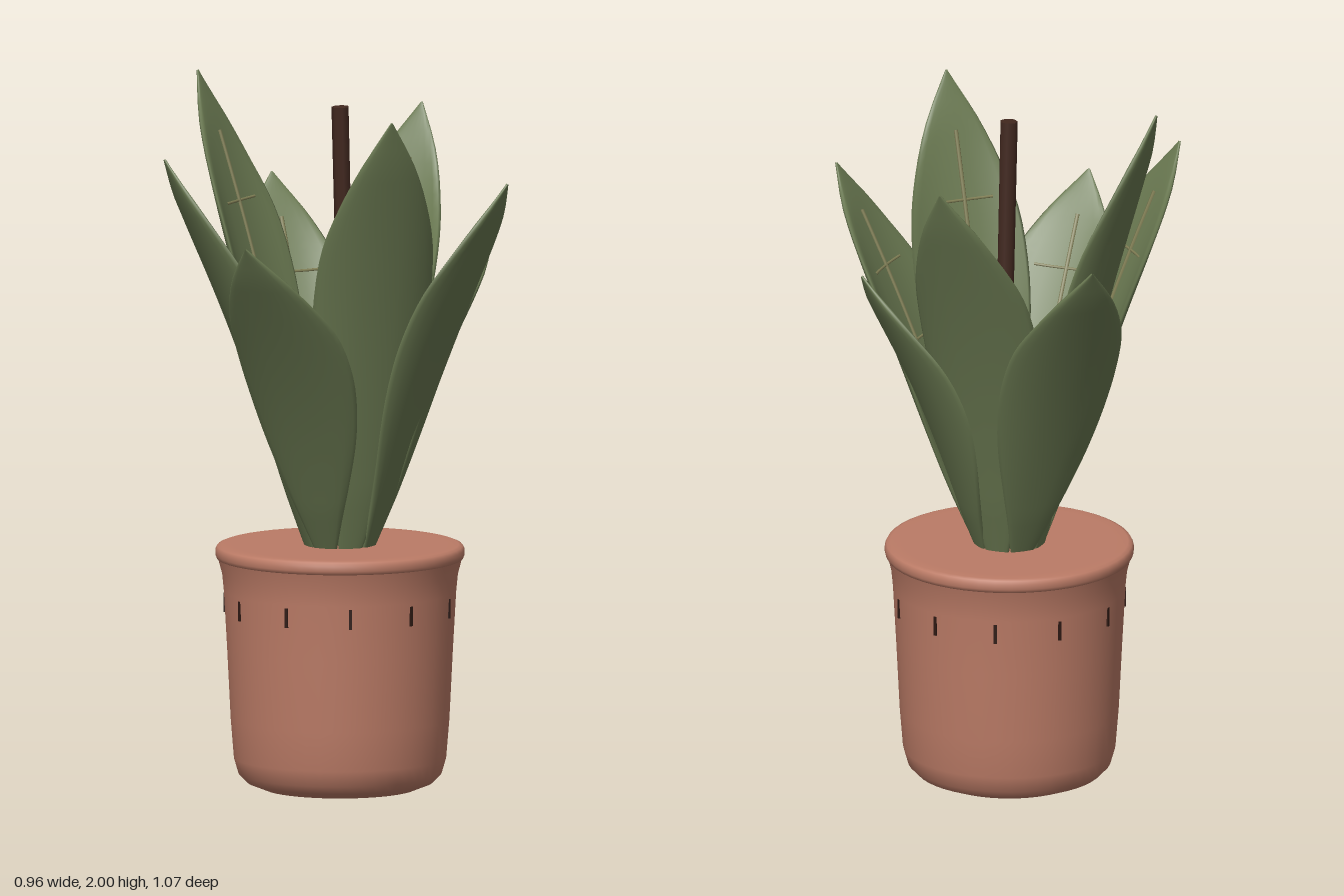
import * as THREE from 'three';

const CX = 0.035, CZ = 0.055, TOP = 0.69;

export function createModel() {
  const mat = (name, color) => {
    const m = new THREE.MeshStandardMaterial({ color });
    m.name = name;
    return m;
  };
  const clay = mat('terracotta', 0xbb7b66);
  const green = mat('leafGreen', 0x6b7a52);
  const olive = mat('veinOlive', 0x828056);
  const brown = mat('stakeBrown', 0x42281f);
  const dark = mat('slotDark', 0x2e1a14);

  const root = new THREE.Group();
  root.name = 'pottedPlant';
  const add = (parent, geo, material, name) => {
    const m = new THREE.Mesh(geo, material);
    m.name = name;
    parent.add(m);
    return m;
  };
  const lathe = pts => new THREE.LatheGeometry(pts.map(p => new THREE.Vector2(...p)), 48);

  // Pot: rounded body, then a rolled rim that runs into the closed top
  const pot = new THREE.Group();
  pot.name = 'pot';
  pot.position.set(CX, 0, CZ);
  root.add(pot);
  add(pot, lathe([[0, 0], [0.215, 0.003], [0.262, 0.022], [0.284, 0.045], [0.297, 0.09],
    [0.306, 0.2], [0.316, 0.4], [0.325, 0.56], [0.33, 0.61], [0.342, 0.655]]), clay, 'potBody');
  add(pot, lathe([[0.336, 0.65], [0.344, 0.652], [0.348, 0.662], [0.348, 0.676], [0.343, 0.686],
    [0.332, TOP], [0.3, TOP], [0, TOP]]), clay, 'potRimAndTop');

  // Small upright slots around the pot
  for (let i = 0; i < 11; i++) {
    const a = THREE.MathUtils.degToRad(-6.4) + i / 11 * Math.PI * 2;
    const slot = add(pot, new THREE.BoxGeometry(0.009, 0.055, 0.008), dark, 'potSlot');
    slot.position.set(Math.sin(a) * 0.322, 0.523, Math.cos(a) * 0.322);
    slot.rotation.y = a;
  }

  // Leaning stake
  const low = new THREE.Vector3(0.072, TOP - 0.02, 0.025), high = new THREE.Vector3(0.035, 1.925, 0.06);
  const lean = high.clone().sub(low);
  const stake = add(root, new THREE.CylinderGeometry(0.025, 0.023, lean.length(), 7), brown, 'stake');
  stake.position.copy(low).lerp(high, 0.5);
  stake.quaternion.setFromUnitVectors(new THREE.Vector3(0, 1, 0), lean.normalize());

  // Half width of a leaf along its length, and its cupping, sideways bulge and inward bow
  const outline = new THREE.SplineCurve([[0, 0.034], [0.1, 0.066], [0.2, 0.1], [0.33, 0.14], [0.45, 0.164],
    [0.56, 0.173], [0.68, 0.165], [0.78, 0.134], [0.89, 0.08], [1, 0.002]].map(p => new THREE.Vector2(...p)));
  const cup = u => 0.045 * (Math.abs(u) / 0.172) ** 2.5;
  const bulge = t => 0.018 * Math.sin(Math.PI * t);
  const bow = t => 0.024 * Math.sin(Math.PI * t);
  const ROWS = 28, SIDES = 20;

  function makeLeaf(angle, reach, tipY) {
    const leaf = new THREE.Group();
    leaf.name = 'leaf';
    const d = new THREE.Vector3(Math.sin(angle), 0, Math.cos(angle));
    const base = new THREE.Vector3(CX, TOP - 0.005, CZ).addScaledVector(d, 0.09);
    const span = d.clone().multiplyScalar(reach - 0.09).setY(tipY - base.y);
    const side = new THREE.Vector3(d.z, 0, -d.x);
    const inward = span.clone().normalize().cross(side);
    const at = (t, u, v) => base.clone().addScaledVector(span, t)
      .addScaledVector(side, u).addScaledVector(inward, v + bow(t));

    // Cupped blade with a rounded edge, built from rings
    const pos = [], idx = [];
    const pow = c => Math.sign(c) * Math.abs(c) ** 0.6;
    for (let i = 0; i <= ROWS; i++) {
      const p = outline.getPoint(i / ROWS);
      const thick = Math.min(0.012, 0.003 + p.y * 0.12);
      for (let j = 0; j < SIDES; j++) {
        const a = j / SIDES * Math.PI * 2;
        const u = p.y * Math.cos(a);
        pos.push(...at(p.x, u + bulge(p.x), cup(u) + thick * pow(Math.sin(a))).toArray());
        if (i === ROWS) continue;
        const k = i * SIDES, n = (j + 1) % SIDES;
        idx.push(k + j, k + n, k + SIDES + n, k + j, k + SIDES + n, k + SIDES + j);
      }
    }
    const geo = new THREE.BufferGeometry();
    geo.setAttribute('position', new THREE.Float32BufferAttribute(pos, 3));
    geo.setIndex(idx);
    geo.computeVertexNormals();
    add(leaf, geo, green, 'leafBlade');

    // Midrib and three cross veins on the inner face
    const vein = (pts, r, name) =>
      add(leaf, new THREE.TubeGeometry(new THREE.CatmullRomCurve3(pts), 12, r, 6), olive, name);
    vein([0.06, 0.2, 0.35, 0.5, 0.7, 0.87].map(t => at(t, 0, 0.013)), 0.006, 'midrib');
    for (const t of [0.32, 0.52, 0.72]) {
      vein([-1, -0.5, 0, 0.5, 1].map(s => at(t, s * 0.088 + 0.006, cup(s * 0.088) + 0.013)), 0.004, 'crossVein');
    }
    return leaf;
  }

  // Eight leaves, evenly spaced: [reach, tip height]
  [[0.448, 1.94], [0.521, 1.74], [0.448, 1.53], [0.52, 1.87],
    [0.59, 1.66], [0.443, 2.0], [0.518, 1.8], [0.599, 1.6]].forEach(([reach, tipY], i) => {
    root.add(makeLeaf(THREE.MathUtils.degToRad(7.3 + 45 * i), reach, tipY));
  });

  return root;
}
